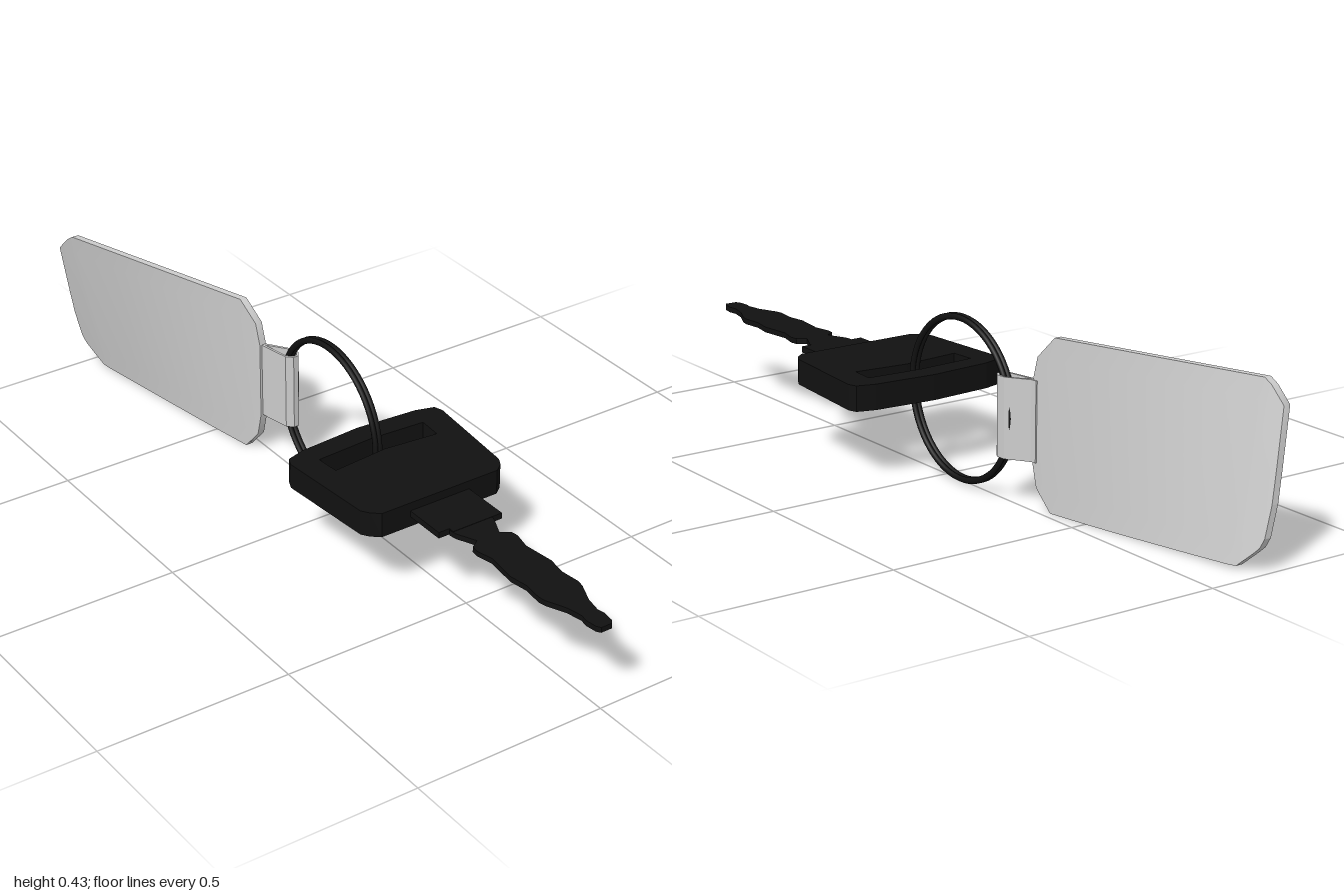
import * as THREE from 'three';

const black = new THREE.MeshStandardMaterial({ color: 0x111111, flatShading: true });
const grey = new THREE.MeshStandardMaterial({ color: 0xcccccc, side: THREE.DoubleSide });

const toPoints = (list) => list.map(([a, b]) => new THREE.Vector2(a, b));

// Plate drawn in plan as [x, z] corners, filling the height from y0 to y1
function plate(name, outline, y0, y1, material, hole) {
  const shape = new THREE.Shape(toPoints(outline));
  if (hole) shape.holes.push(new THREE.Path(toPoints(hole)));
  const geometry = new THREE.ExtrudeGeometry(shape, { depth: y1 - y0, bevelEnabled: false });
  geometry.rotateX(Math.PI / 2).translate(0, y1, 0);
  const mesh = new THREE.Mesh(geometry, material);
  mesh.name = name;
  return mesh;
}

function createKey() {
  const key = new THREE.Group();
  key.name = 'key';
  // Grip with a slot for the ring
  key.add(plate('keyHead', [
    [-0.215, 0.085], [-0.205, 0.062], [-0.155, 0.048], [0.01, 0.036], [0.175, 0.048],
    [0.222, 0.062], [0.23, 0.085], [0.206, 0.345], [0.195, 0.365], [0.172, 0.383],
    [-0.16, 0.383], [-0.182, 0.365], [-0.195, 0.345],
  ], 0.183, 0.248, black, [
    [-0.147, 0.105], [0.01, 0.096], [0.157, 0.105], [0.153, 0.167], [0.01, 0.153], [-0.142, 0.167],
  ]));
  // Thin metal: shoulder, then waisted blade
  key.add(plate('keyShoulder', [
    [-0.08, 0.37], [0.09, 0.37], [0.09, 0.51], [-0.05, 0.51], [-0.05, 0.495], [-0.08, 0.495],
  ], 0.21, 0.226, black));
  const halfWidths = [
    [0.5, 0.058], [0.52, 0.055], [0.57, 0.032], [0.585, 0.055], [0.605, 0.058], [0.65, 0.048],
    [0.73, 0.058], [0.78, 0.05], [0.83, 0.056], [0.85, 0.052], [0.9, 0.03], [0.94, 0.022],
    [0.96, 0.026], [0.99, 0.022], [1.0, 0.015],
  ];
  const right = halfWidths.map(([z, w]) => [0.005 - w, z]);
  const left = halfWidths.map(([z, w]) => [0.005 + w, z]).reverse();
  key.add(plate('keyBlade', [...right, ...left], 0.211, 0.225, black));
  return key;
}

// Split ring: two coils side by side
function createRing() {
  const ring = new THREE.Group();
  ring.name = 'splitRing';
  const material = black.clone();
  material.flatShading = false;
  for (const x of [0.006, 0.0185]) {
    const geometry = new THREE.TorusGeometry(0.201, 0.008, 8, 64);
    geometry.scale(1, 1, 0.75).rotateY(Math.PI / 2);
    const coil = new THREE.Mesh(geometry, material);
    coil.name = 'ringCoil';
    coil.position.set(x, 0.216, -0.081);
    ring.add(coil);
  }
  return ring;
}

// Twisted tag: a subdivided slab mapped onto stations [z, yLow, yHigh]
function createTag() {
  const stations = [
    [-0.333, 0.115, 0.317], [-0.345, 0.055, 0.375], [-0.39, 0.002, 0.428], [-0.5, 0.002, 0.428],
    [-0.6, 0.003, 0.428], [-0.7, 0.005, 0.428], [-0.8, 0.007, 0.428], [-0.92, 0.01, 0.428],
    [-0.94, 0.012, 0.414], [-0.978, 0.048, 0.375], [-0.992, 0.063, 0.24], [-1.0, 0.085, 0.16],
  ];
  const n = stations.length - 1;
  const geometry = new THREE.BoxGeometry(0.018, 1, 1, 1, 8, n);
  const p = geometry.attributes.position;
  for (let i = 0; i < p.count; i++) {
    const [z, low, high] = stations[Math.round((0.5 - p.getZ(i)) * n)];
    const y = low + (p.getY(i) + 0.5) * (high - low);
    const t = (-z - 0.335) / 0.665;
    const twist = 0.115 + 0.105 * (y / 0.43);
    p.setXYZ(i, p.getX(i) - 0.02 - twist * t, y, z);
  }
  geometry.computeVertexNormals();
  const tag = new THREE.Mesh(geometry, grey);
  tag.name = 'tag';
  return tag;
}

// Folded strap holding the ring to the tag
function createStrap() {
  const material = grey.clone();
  material.flatShading = true;
  return plate('tagStrap', [
    [-0.024, -0.345], [-0.021, -0.32], [-0.007, -0.25], [0.008, -0.236], [0.022, -0.236],
    [0.032, -0.25], [0.03, -0.275], [-0.008, -0.33], [-0.01, -0.345],
  ], 0.116, 0.317, material, [
    [-0.016, -0.328], [-0.002, -0.254], [0.01, -0.242], [0.02, -0.242], [0.027, -0.252], [0.025, -0.273],
  ]);
}

export function createModel() {
  const model = new THREE.Group();
  model.name = 'keyWithTag';
  model.add(createKey(), createRing(), createTag(), createStrap());
  return model;
}
